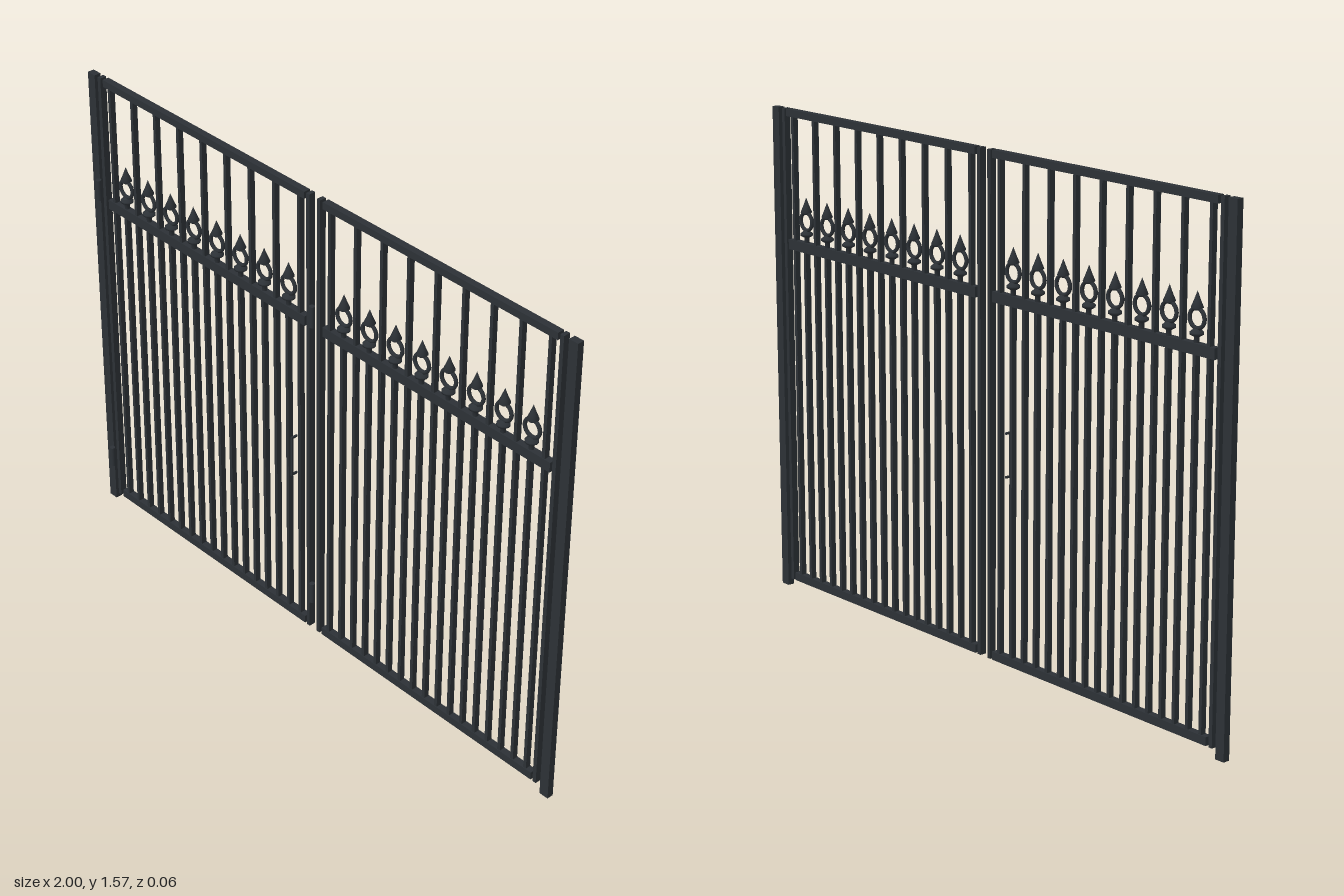
import * as THREE from 'three';

const Z = -0.015; // centre plane of the ironwork

const iron = new THREE.MeshStandardMaterial({ color: 0x2c3136 });

// Box given by its x and y limits and its depth
function bar(name, x0, x1, y0, y1, depth, z = Z) {
  const mesh = new THREE.Mesh(new THREE.BoxGeometry(x1 - x0, y1 - y0, depth), iron);
  mesh.position.set((x0 + x1) / 2, (y0 + y1) / 2, z);
  mesh.name = name;
  return mesh;
}

// Turned part from [radius, height] pairs, listed from bottom to top
function turned(profile) {
  return new THREE.LatheGeometry(profile.map(([r, y]) => new THREE.Vector2(r, y)), 12);
}

// Finial pieces, measured from the top of the middle rail
const collar = turned([[0.008, -0.004], [0.008, 0.016], [0.02, 0.023], [0.02, 0.029], [0.009, 0.038], [0, 0.04]]);
const ring = new THREE.TorusGeometry(0.028, 0.006, 8, 20);
ring.translate(0, 0.067, 0);
const tip = turned([[0, 0.088], [0.011, 0.09], [0.018, 0.097], [0.01, 0.116], [0, 0.143]]);

function createFinial(x) {
  const finial = new THREE.Group();
  finial.name = 'finial';
  for (const [name, geometry] of Object.entries({ collar, ring, tip })) {
    const mesh = new THREE.Mesh(geometry, iron);
    mesh.name = name;
    finial.add(mesh);
  }
  finial.position.set(x, 1.16, Z);
  return finial;
}

function createLeaf(name) {
  const leaf = new THREE.Group();
  leaf.name = name;

  // Frame
  leaf.add(bar('outerStile', -0.954, -0.941, 0.027, 1.573, 0.022));
  leaf.add(bar('innerStile', -0.03, -0.017, 0.027, 1.573, 0.022));
  leaf.add(bar('topRail', -0.93, -0.038, 1.55, 1.573, 0.022));
  leaf.add(bar('middleRail', -0.93, -0.038, 1.128, 1.16, 0.022));
  leaf.add(bar('bottomRail', -0.93, -0.038, 0.027, 0.053, 0.022));

  // Full uprights alternate with short ones that end in a finial
  for (let i = 0; i < 17; i++) {
    const x = -0.905 + i * 0.0525;
    const short = i % 2 === 1;
    leaf.add(bar(short ? 'shortUpright' : 'upright', x - 0.0055, x + 0.0055, 0.05, short ? 1.13 : 1.552, 0.018));
    if (short) leaf.add(createFinial(x));
  }

  // Hinge barrels
  for (const y of [0.179, 1.186]) {
    const hinge = new THREE.Mesh(new THREE.CylinderGeometry(0.009, 0.009, 0.07, 16), iron);
    hinge.name = 'hinge';
    hinge.position.set(-0.962, y, 0.007);
    leaf.add(hinge);
  }
  return leaf;
}

export function createModel() {
  const gate = new THREE.Group();
  gate.name = 'doubleGate';

  // Posts
  gate.add(bar('rightPost', -1, -0.968, 0, 1.573, 0.022));
  gate.add(bar('leftPost', 0.968, 1, 0, 1.573, 0.022));

  // Two identical leaves
  gate.add(createLeaf('rightLeaf'));
  const leftLeaf = createLeaf('leftLeaf');
  leftLeaf.position.x = 0.968;
  gate.add(leftLeaf);

  // Pull handle on the right leaf
  const handle = new THREE.Group();
  handle.name = 'handle';
  handle.add(bar('grip', -0.067, -0.061, 0.595, 0.735, 0.006, 0.024));
  for (const y of [0.595, 0.729]) {
    handle.add(bar('handleArm', -0.067, -0.061, y, y + 0.006, 0.02, 0.014));
  }
  gate.add(handle);
  return gate;
}
